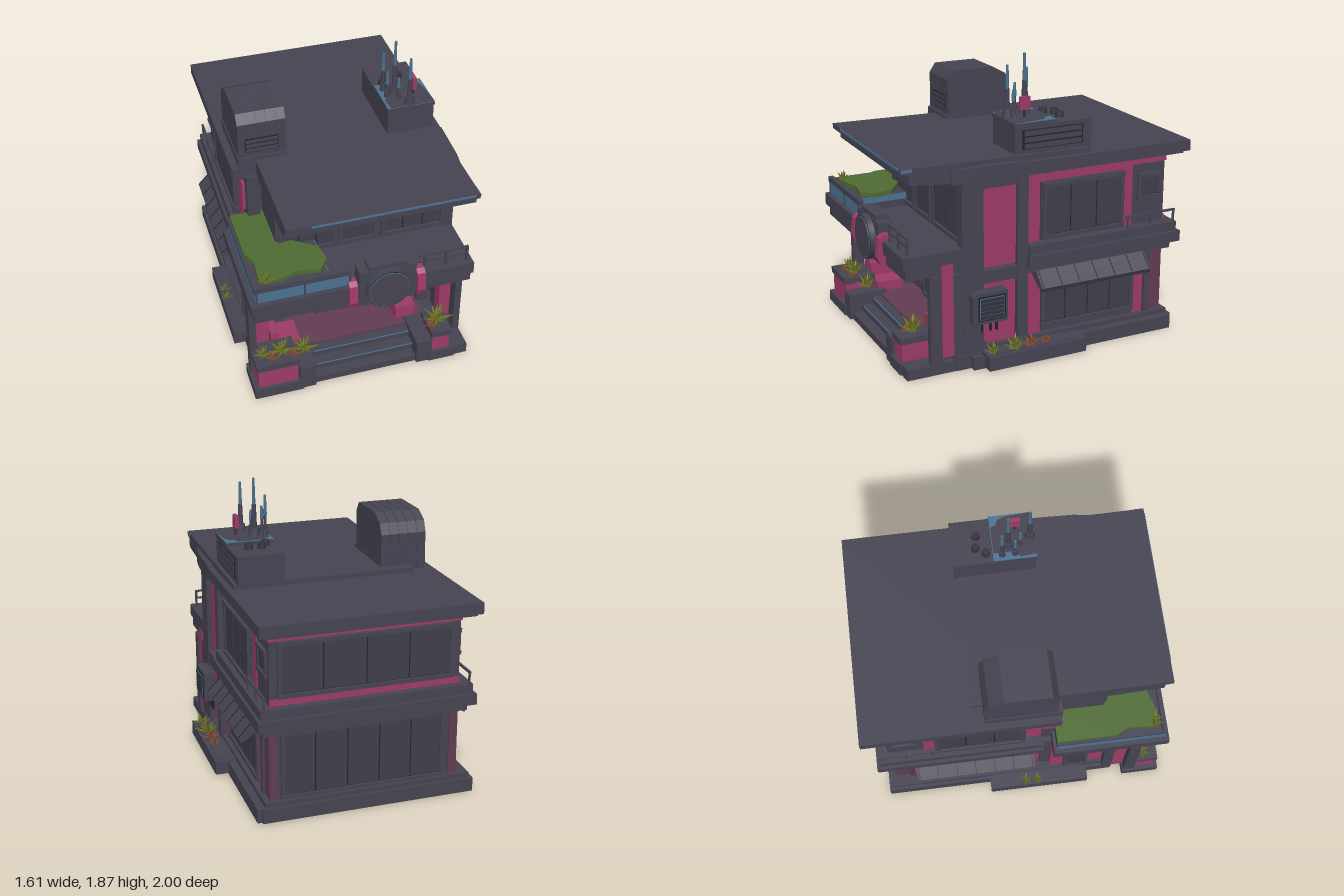
import * as THREE from 'three';

const colours = {
  slate: 0x454351, ink: 0x22212a, pink: 0x9c3b66, blue: 0x4a7291, grass: 0x4e6b32,
  leaf: 0x6d7524, rust: 0x8f4f2a, plum: 0x613c50, steel: 0x35343f, glass: 0x403e4a,
};
const M = {};

export function createModel() {
  const root = new THREE.Group();
  for (const [name, color] of Object.entries(colours)) {
    M[name] = new THREE.MeshStandardMaterial({ color });
    M[name].name = name;
  }
  M.leaf.side = M.rust.side = THREE.DoubleSide;

  const add = (name, geo, mat, x = 0, y = 0, z = 0) => {
    const m = new THREE.Mesh(geo, M[mat]);
    m.name = name;
    m.position.set(x, y, z);
    root.add(m);
    return m;
  };
  // Box from its limits on each axis
  const box = (name, mat, x0, x1, y0, y1, z0, z1) =>
    add(name, new THREE.BoxGeometry(x1 - x0, y1 - y0, z1 - z0), mat, (x0 + x1) / 2, (y0 + y1) / 2, (z0 + z1) / 2);
  // Profile of [z, y] points pushed along x
  const slice = (name, mat, x0, x1, pts) => {
    const s = new THREE.Shape(pts.map(([z, y]) => new THREE.Vector2(-z, y)));
    const g = new THREE.ExtrudeGeometry(s, { depth: x1 - x0, bevelEnabled: false });
    g.rotateY(Math.PI / 2);
    return add(name, g, mat, x0);
  };
  // Plan of [x, z] points raised along y
  const slab = (name, mat, y0, y1, pts) => {
    const s = new THREE.Shape(pts.map(([x, z]) => new THREE.Vector2(x, -z)));
    const g = new THREE.ExtrudeGeometry(s, { depth: y1 - y0, bevelEnabled: false });
    g.rotateX(-Math.PI / 2);
    return add(name, g, mat, 0, y0);
  };
  // Row of panes with dark seams, facing +-z or +-x
  const panes = (name, axis, at, dir, a0, a1, y0, y1, n) => {
    const put = (nm, mat, b0, b1, c0, c1, t) => {
      const p = Math.min(at, at + dir * t), q = Math.max(at, at + dir * t);
      return axis === 'z' ? box(nm, mat, b0, b1, c0, c1, p, q) : box(nm, mat, p, q, c0, c1, b0, b1);
    };
    put(name + 'Seam', 'ink', a0, a1, y0, y1, 0.004);
    const w = (a1 - a0) / n;
    for (let i = 0; i < n; i++)
      put(name + 'Pane', 'glass', a0 + i * w + 0.004, a0 + (i + 1) * w - 0.004, y0 + 0.005, y1 - 0.005, 0.009);
    put(name + 'Head', 'slate', a0 - 0.015, a1 + 0.015, y1, y1 + 0.025, 0.022);
    put(name + 'Sill', 'slate', a0 - 0.015, a1 + 0.015, y0 - 0.025, y0, 0.022);
    for (let i = 0; i <= n; i += n) put(name + 'Jamb', 'slate', a0 + i * w - 0.012, a0 + i * w + 0.012, y0, y1, 0.018);
  };

  // Ground base and storeys
  box('base', 'slate', -0.7, 0.66, 0, 0.09, -0.92, 0.62);
  box('baseLip', 'slate', -0.68, 0.64, 0.09, 0.12, -0.9, 0.5);
  box('lowerStorey', 'slate', -0.6, 0.6, 0.1, 0.62, -0.86, 0.45);
  box('upperStorey', 'slate', -0.6, 0.6, 0.66, 1.19, -0.87, 0.22);
  box('upperFrontRoom', 'slate', -0.5, 0.6, 0.62, 1.22, 0.2, 0.55);

  // Ledges between the storeys
  box('ledgeLower', 'slate', -0.65, 0.65, 0.55, 0.62, -0.9, 0.15);
  box('ledgeMiddle', 'slate', -0.69, 0.69, 0.6, 0.67, -0.95, 0.14);
  box('ledgeUpper', 'slate', -0.67, 0.67, 0.67, 0.73, -0.93, 0.13);
  box('ledgeBandBack', 'pink', -0.6, 0.6, 0.73, 0.77, -0.879, -0.86);
  box('eaveBandBack', 'pink', -0.607, 0.607, 1.13, 1.185, -0.879, -0.6);

  // Back windows
  panes('backLowerWindow', 'z', -0.86, -1, -0.5, 0.52, 0.14, 0.53, 5);
  panes('backUpperWindow', 'z', -0.87, -1, -0.54, 0.54, 0.8, 1.1, 4);
  box('backCornerPanel', 'plum', -0.604, -0.55, 0.12, 0.55, -0.868, -0.77);
  box('backCornerPanel', 'plum', 0.55, 0.604, 0.12, 0.55, -0.868, -0.77);

  // Both long sides
  for (const s of [-1, 1]) {
    const side = (name, mat, d0, d1, y0, y1, z0, z1) =>
      box(name, mat, Math.min(s * d0, s * d1), Math.max(s * d0, s * d1), y0, y1, z0, z1);
    side('upperSidePanel', 'pink', 0.6, 0.607, 0.73, 1.185, -0.63, 0.13);
    side('upperWindowBay', 'slate', 0.6, 0.622, 0.74, 1.11, -0.56, 0.03);
    panes('upperSideWindow', 'x', s * 0.622, s, -0.54, 0.01, 0.77, 1.08, 3);
    panes('smallSideWindow', 'x', s * 0.6, s, -0.83, -0.68, 0.92, 1.04, 1);
    side('lowerSidePanel', 'pink', 0.6, 0.607, 0.12, 0.56, 0.02, 0.13);
    side('lowerSideEndPanel', 'pink', 0.6, 0.606, 0.12, 0.53, -0.73, -0.655);
    panes('lowerSideWindow', 'x', s * 0.605, s, -0.64, 0.01, 0.18, 0.45, 4);
    side('sideColumn', 'slate', 0.6, s > 0 ? 0.65 : 0.63, 0.08, s > 0 ? 1.2 : 0.66, 0.13, 0.2);
    side('lowerPinkWall', 'pink', 0.6, 0.608, 0.12, 0.53, 0.2, 0.43);
    side('sideFooting', 'slate', 0.6, 0.69, 0, 0.09, -0.9, -0.2);
    side('cornerPost', 'slate', 0.59, 0.62, 0.1, 0.55, -0.77, -0.735);
    // Rail above the ledge
    side('sideRail', 'slate', 0.64, 0.655, 0.8, 0.812, -0.93, -0.56);
    for (const z of [-0.92, -0.75, -0.58]) side('railPost', 'slate', 0.642, 0.653, 0.72, 0.8, z - 0.006, z + 0.006);
    // Sloping awning with ribs
    const awn = new THREE.Shape([[0.6, 0.56], [0.6, 0.52], [0.73, 0.44], [0.745, 0.47], [0.66, 0.56]].map(p => new THREE.Vector2(s * p[0], p[1])));
    add('awning', new THREE.ExtrudeGeometry(awn, { depth: 0.78, bevelEnabled: false }), 'slate', 0, 0, -0.7);
    for (let i = 0; i <= 6; i++) {
      const rib = box('awningRib', 'ink', -0.06, 0.06, -0.003, 0.003, -0.003, 0.003);
      rib.position.set(s * 0.7025, 0.515, -0.69 + i * 0.126);
      rib.rotation.z = -s * 0.815;
    }
    // Low planter beside the wall
    side('sidePlanter', 'slate', 0.64, 0.775, 0.01, 0.1, -0.22, 0.45);
    side('planterSoil', 'slate', 0.66, 0.75, 0.1, 0.107, -0.18, 0.4);
    side('footBlock', 'slate', 0.62, 0.7, 0, 0.08, 0.4, 0.52);
  }

  // Tall corner column and panel on the model's left
  box('cornerColumn', 'slate', 0.57, 0.65, 0.02, 1.2, 0.43, 0.57);
  box('upperPinkPanel', 'pink', 0.6, 0.618, 0.62, 1.13, 0.2, 0.43);
  box('panelTop', 'slate', 0.6, 0.64, 1.13, 1.2, 0.18, 0.45);
  box('panelBase', 'slate', 0.6, 0.645, 0.53, 0.61, 0.13, 0.45);
  // Wall unit
  slice('wallUnit', 'slate', 0.64, 0.715, [[0.53, 0.3], [0.53, 0.48], [0.5, 0.5], [0.3, 0.5], [0.3, 0.3]]);
  box('wallUnitFace', 'ink', 0.715, 0.72, 0.322, 0.478, 0.318, 0.497);
  box('wallUnitFrame', 'blue', 0.72, 0.722, 0.33, 0.47, 0.328, 0.49);
  for (let i = 0; i < 5; i++) box('wallUnitSlat', 'steel', 0.718, 0.727, 0.334 + i * 0.027, 0.357 + i * 0.027, 0.334, 0.484);
  for (const z of [0.34, 0.38, 0.44]) box('pipe', 'ink', 0.64, 0.655, 0.22, 0.3, z, z + 0.012);

  // Outer wall below the garden balcony
  box('gardenWall', 'pink', -0.66, -0.59, 0.08, 0.62, 0.2, 0.56);
  panes('sideDoor', 'x', -0.66, -1, 0.3, 0.44, 0.11, 0.52, 1);

  // Porch, doors and steps
  box('porchBase', 'slate', -0.68, 0.62, 0, 0.14, 0.4, 0.72);
  box('porchFloor', 'plum', -0.45, 0.45, 0.14, 0.148, 0.44, 0.72);
  for (let i = 0; i < 3; i++) box('step', 'slate', -0.36, 0.34, 0, 0.045 * (3 - i), 0.7, 0.78 + i * 0.07);
  for (const [y, z] of [[0.128, 0.778], [0.083, 0.848]]) box('stepEdge', 'blue', -0.33, 0.31, y, y + 0.007, z, z + 0.006);
  for (const x of [-0.41, 0.36]) box('stepCheek', 'slate', x - 0.05, x + 0.05, 0, 0.17, 0.68, 0.94);
  panes('frontDoor', 'z', 0.45, 1, -0.22, 0.16, 0.17, 0.49, 2);
  for (const x of [-0.055, -0.02]) box('doorHandle', 'ink', x - 0.005, x + 0.005, 0.24, 0.42, 0.459, 0.475);
  panes('frontWindow', 'z', 0.45, 1, -0.45, -0.29, 0.24, 0.52, 1);
  panes('frontWindow', 'z', 0.45, 1, 0.25, 0.42, 0.24, 0.52, 1);
  box('porchHeader', 'slate', -0.6, 0.6, 0.53, 0.63, 0.44, 0.5);
  for (const x of [-0.55, 0.49]) box('porchPier', 'slate', x - 0.04, x + 0.04, 0.1, 0.63, 0.44, 0.54);
  // Porch pillars, pink with dark posts before and behind
  for (const [a, b, post] of [[-0.7, -0.6, -0.72], [0.54, 0.648, 0.635]]) {
    box('pinkPillar', 'pink', a, b, 0.1, 0.7, 0.63, 0.705);
    box('rearPillar', 'slate', a, b, 0.02, 0.62, 0.56, 0.63);
    box('frontPost', 'slate', post - 0.022, post + 0.022, 0.05, 0.63, 0.71, 0.785);
  }
  // Porch seats: one against the side, one facing forward
  box('sofaSeat', 'pink', -0.57, -0.4, 0.148, 0.21, 0.54, 0.72);
  box('sofaBack', 'pink', -0.59, -0.54, 0.148, 0.3, 0.54, 0.72);
  box('sofaSeat', 'pink', 0.26, 0.39, 0.148, 0.24, 0.52, 0.66);
  box('sofaBack', 'pink', 0.29, 0.39, 0.2, 0.31, 0.5, 0.545);
  // Front planters
  for (const [a, b] of [[-0.735, -0.46], [0.41, 0.545]]) {
    box('planterFoot', 'slate', a - 0.02, b + 0.02, 0, 0.07, 0.7, 0.95);
    box('planterBody', 'pink', a + 0.01, b - 0.01, 0.07, 0.21, 0.74, 0.925);
    box('planterRim', 'slate', a, b, a < 0 ? 0.21 : 0.185, a < 0 ? 0.25 : 0.225, 0.72, 0.935);
  }
  box('planterSide', 'slate', 0.55, 0.655, 0, 0.07, 0.62, 0.94);

  // Front balcony, wrapping one side
  slab('balconyFloor', 'slate', 0.63, 0.71, [[-0.73, 0.2], [-0.45, 0.2], [-0.45, 0.52], [0.64, 0.52], [0.64, 0.93], [-0.73, 0.93]]);
  slab('balconyFascia', 'slate', 0.7, 0.78, [[-0.755, 0.2], [-0.45, 0.2], [-0.45, 0.52], [0.65, 0.52], [0.65, 0.95], [-0.755, 0.95]]);
  box('balconyTrim', 'plum', -0.5, 0.5, 0.618, 0.63, 0.85, 0.9);
  slab('gardenBox', 'slate', 0.78, 0.87, [[-0.71, 0.22], [-0.5, 0.22], [-0.5, 0.56], [-0.26, 0.56], [-0.26, 0.9], [-0.71, 0.9]]);
  box('gardenSide', 'blue', -0.725, -0.71, 0.78, 0.865, 0.22, 0.925);
  box('gardenInnerStrip', 'blue', -0.26, -0.255, 0.83, 0.87, 0.56, 0.9);
  box('glassRail', 'blue', -0.72, -0.13, 0.785, 0.865, 0.9, 0.925);
  box('gardenRim', 'slate', -0.728, -0.13, 0.865, 0.9, 0.9, 0.93);
  box('gardenSideRim', 'slate', -0.73, -0.712, 0.865, 0.885, 0.22, 0.93);
  for (const x of [-0.715, -0.42, -0.14]) box('glassPost', 'slate', x - 0.006, x + 0.006, 0.78, 0.87, 0.9, 0.93);
  slab('lawn', 'grass', 0.87, 0.9, [[-0.71, 0.22], [-0.49, 0.22], [-0.4, 0.56], [-0.26, 0.66], [-0.24, 0.78], [-0.3, 0.86], [-0.45, 0.84],
    [-0.54, 0.87], [-0.62, 0.885], [-0.68, 0.85], [-0.67, 0.68], [-0.71, 0.6]]);
  for (const y of [0.83, 0.88]) box('balconyRail', 'slate', 0.3, 0.62, y, y + 0.012, 0.9, 0.912);
  for (const x of [0.34, 0.48, 0.615]) box('balconyRailPost', 'slate', x - 0.007, x + 0.007, 0.78, 0.89, 0.898, 0.914);
  // Round sign with a block behind and pink brackets
  box('signBlock', 'slate', -0.09, 0.27, 0.62, 0.88, 0.86, 0.955);
  box('signBlockTop', 'slate', -0.03, 0.21, 0.86, 0.91, 0.86, 0.95);
  const disc = (name, mat, r, z0, z1) =>
    add(name, new THREE.CylinderGeometry(r, r, z1 - z0, 40).rotateX(Math.PI / 2), mat, 0.09, 0.745, (z0 + z1) / 2);
  disc('signRim', 'slate', 0.142, 0.93, 0.99);
  disc('signGroove', 'ink', 0.133, 0.985, 0.992);
  disc('signRing', 'blue', 0.13, 0.985, 0.994);
  disc('signFace', 'slate', 0.125, 0.985, 0.998);
  for (const x of [-0.13, 0.3]) {
    slice('bracket', 'pink', x - 0.026, x + 0.026, [[0.9, 0.64], [0.97, 0.64], [0.985, 0.68], [0.97, 0.8], [0.94, 0.82], [0.9, 0.82]]);
  }

  // Upper front windows
  panes('upperFrontWindow', 'z', 0.55, 1, -0.47, -0.13, 0.82, 1.13, 3);
  panes('upperFrontDoor', 'z', 0.55, 1, -0.09, 0.14, 0.82, 1.09, 1);
  panes('upperFrontWindow', 'z', 0.55, 1, 0.19, 0.58, 0.82, 1.13, 3);
  box('upperHeader', 'slate', -0.5, 0.6, 1.16, 1.2, 0.55, 0.59);
  box('upperLeftPost', 'slate', -0.6, -0.52, 0.78, 1.2, 0.18, 0.26);
  box('upperLeftPanel', 'pink', -0.62, -0.6, 0.92, 1.12, 0.14, 0.21);

  // Roof
  box('roofSlab', 'slate', -0.685, 0.69, 1.2, 1.27, -1, 0.22);
  box('roofSoffit', 'slate', -0.66, 0.66, 1.18, 1.2, -0.97, 0.2);
  slab('roofFrontSlab', 'slate', 1.185, 1.28, [[-0.53, 0.2], [0.69, 0.2], [0.68, 0.5], [0.66, 0.64], [-0.53, 0.64]]);
  slice('roofCanopy', 'slate', -0.53, 0.65, [[0.95, 1.285], [0.95, 1.317], [-0.3, 1.3], [-0.3, 1.26], [0.6, 1.19], [0.9, 1.217], [0.9, 1.275]]);
  slice('canopyUnderside', 'pink', -0.48, 0.6, [[0.66, 1.192], [0.88, 1.212], [0.88, 1.219], [0.66, 1.2]]);
  box('canopyEdge', 'blue', -0.38, 0.62, 1.302, 1.316, 0.948, 0.954);
  box('canopyEdgeSide', 'blue', 0.648, 0.653, 1.295, 1.315, 0.88, 0.95);
  box('roofEndCap', 'slate', -0.68, -0.53, 1.18, 1.265, 0.12, 0.24);

  // Rooftop cooling unit with ribs
  const hood = (z0, z1, top) => [[z1, 1.25], [z1, top - 0.06], [z1 - 0.04, top], [z0 + 0.12, top], [z0 + 0.03, top - 0.05], [z0, top - 0.12], [z0, 1.25]];
  slice('coolingUnit', 'slate', -0.63, -0.335, hood(-0.227, 0.217, 1.623));
  for (let i = 0; i < 5; i++) slice('coolingRib', 'slate', -0.633 + i * 0.061, -0.576 + i * 0.061, hood(-0.23, 0.22, 1.627));
  box('coolingFoot', 'slate', -0.64, -0.33, 1.26, 1.33, -0.22, 0.235);
  box('coolingVent', 'ink', -0.59, -0.38, 1.36, 1.46, 0.215, 0.222);
  for (let i = 0; i < 3; i++) box('coolingSlat', 'slate', -0.585, -0.385, 1.365 + i * 0.032, 1.388 + i * 0.032, 0.218, 0.226);

  // Antenna housing
  box('antennaHousing', 'slate', 0.325, 0.625, 1.25, 1.475, -0.31, 0.21);
  box('antennaDeck', 'slate', 0.32, 0.63, 1.475, 1.495, -0.06, 0.215);
  box('deckEdge', 'blue', 0.322, 0.628, 1.495, 1.5, -0.058, 0.213);
  slab('deckTop', 'slate', 1.5, 1.504, [[0.375, -0.053], [0.55, -0.053], [0.56, -0.02], [0.6, 0], [0.615, 0.05], [0.628, 0.213], [0.345, 0.213], [0.335, 0.12], [0.375, 0.06]]);
  box('housingVent', 'ink', 0.625, 0.629, 1.33, 1.45, -0.25, 0.16);
  for (let i = 0; i < 3; i++) box('housingSlat', 'slate', 0.626, 0.634, 1.335 + i * 0.04, 1.365 + i * 0.04, -0.24, 0.15);
  // Masts: x, z, height of tip, foot radius
  for (const [x, z, top, r] of [[0.42, 0.045, 1.87, 0.038], [0.47, 0.185, 1.82, 0.034], [0.36, 0, 1.77, 0.022], [0.36, 0.08, 1.68, 0.02], [0.42, 0.12, 1.65, 0.018]]) {
    const h = top - 1.5;
    add('mastFoot', new THREE.CylinderGeometry(r * 0.75, r, 0.06, 10), 'slate', x, 1.52, z);
    add('mastSleeve', new THREE.CylinderGeometry(r * 0.38, r * 0.55, h * 0.55, 8), 'slate', x, 1.5 + h * 0.275, z);
    add('mastTip', new THREE.CylinderGeometry(0.008, 0.012, h * 0.46, 8), 'blue', x, 1.5 + h * 0.77, z);
  }
  box('signalBoxStem', 'steel', 0.518, 0.532, 1.5, 1.56, 0.09, 0.105);
  box('signalBox', 'pink', 0.513, 0.537, 1.55, 1.63, 0.065, 0.13);
  for (const [x, z] of [[0.43, -0.16], [0.51, -0.15], [0.39, -0.1]])
    add('roofVent', new THREE.CylinderGeometry(0.024, 0.028, 0.04, 12), 'steel', x, 1.49, z);

  // Plants: rings of bent-out blades
  const blade = new THREE.ConeGeometry(0.023, 0.1, 4, 1, true).scale(1, 1, 0.35).translate(0, 0.045, 0);
  const plant = (x, y, z, size = 1, mat = 'leaf') => {
    for (let i = 0; i < 13; i++) {
      const m = add('leaf', blade, mat, x, y, z);
      m.rotation.set(0.4 + (i % 3) * 0.42, i * 2.4, 0, 'YXZ');
      m.scale.setScalar(size * (0.85 + (i % 4) * 0.1));
    }
  };
  plant(-0.67, 0.25, 0.83, 0.75);
  plant(-0.55, 0.25, 0.83, 1);
  plant(-0.62, 0.245, 0.87, 0.5, 'rust');
  plant(-0.48, 0.245, 0.87, 0.5, 'rust');
  plant(-0.4, 0.2, 0.8, 1);
  plant(0.48, 0.24, 0.83, 1.15);
  plant(0.43, 0.22, 0.86, 0.55, 'rust');
  plant(-0.64, 0.89, 0.86, 0.7);
  for (const [z, mat, k] of [[0.4, 'leaf', 0.75], [0.25, 'leaf', 1], [0.14, 'rust', 0.8], [0.04, 'rust', 0.6]]) plant(0.72, 0.1, z, k, mat);
  for (const z of [0.1, 0.02]) plant(-0.74, 0.1, z, 0.5);
  return root;
}
